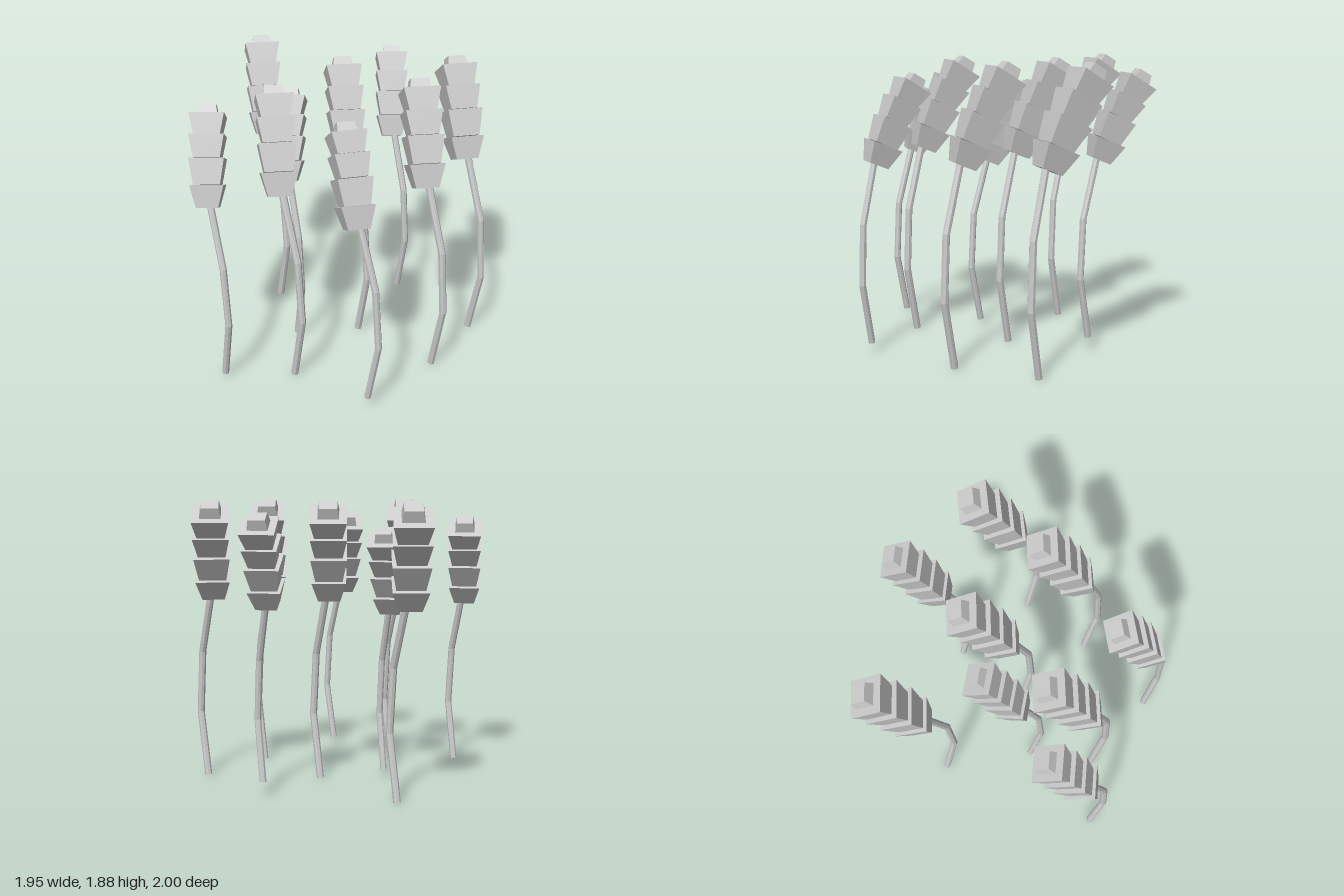
import * as THREE from 'three';

const material = new THREE.MeshStandardMaterial({ color: 0xcccccc, flatShading: true });
const V = (x, y, z) => new THREE.Vector3(x, y, z);

// Bent stem: a cylinder whose rings follow a polyline, mitred at the bends
function stemGeometry(points, radius) {
  const last = points.length - 1;
  const geometry = new THREE.CylinderGeometry(radius, radius, last, 8, last);
  const position = geometry.attributes.position;
  const frames = points.map((p, i) => {
    const tangent = V(0, 0, 0);
    if (i > 0) tangent.add(p.clone().sub(points[i - 1]).normalize());
    if (i < last) tangent.add(points[i + 1].clone().sub(p).normalize());
    return new THREE.Quaternion().setFromUnitVectors(V(0, 1, 0), tangent.normalize());
  });
  for (let i = 0; i < position.count; i++) {
    const ring = Math.round(position.getY(i) + last / 2);
    const v = V(position.getX(i), 0, position.getZ(i)).applyQuaternion(frames[ring]).add(points[ring]);
    position.setXYZ(i, v.x, v.y, v.z);
  }
  geometry.computeVertexNormals();
  return geometry;
}

// Square block with different widths at its bottom and top, tilted backwards
function blockGeometry(bottom, top, from, to, tilt) {
  const height = from.distanceTo(to);
  const geometry = new THREE.BoxGeometry(1, height, 1);
  const position = geometry.attributes.position;
  for (let i = 0; i < position.count; i++) {
    const [w, d] = position.getY(i) > 0 ? top : bottom;
    position.setX(i, position.getX(i) * w);
    position.setZ(i, position.getZ(i) * d);
  }
  geometry.rotateX(-THREE.MathUtils.degToRad(tilt));
  const centre = from.clone().add(to).multiplyScalar(0.5);
  geometry.translate(centre.x, centre.y, centre.z);
  geometry.computeVertexNormals();
  return geometry;
}

const stem = stemGeometry([
  V(0, 0.006, 0), V(0.048, 0.435, 0.075), V(0.028, 0.855, 0.054), V(-0.055, 1.33, -0.075),
], 0.024);

// Ear of grain: centres of the tier joints along a backward curve
const hx = -0.063;
const joints = [
  V(hx, 1.253, -0.078), V(hx, 1.39, -0.134), V(hx, 1.55, -0.204),
  V(hx, 1.682, -0.279), V(hx, 1.794, -0.359), V(hx, 1.855, -0.39),
];
const tilts = [23, 26, 29, 32];
const tiers = tilts.map((tilt, i) => blockGeometry(
  i ? [0.175, 0.165] : [0.145, 0.14], [i ? 0.232 : 0.222, 0.217], joints[i], joints[i + 1], tilt));
const tip = blockGeometry([0.135, 0.12], [0.112, 0.096], joints[4], joints[5], 31);

// x, base height, z, turn in degrees, scale
const stalks = [
  [-0.365, 0, -0.55, 0, 1],
  [0.485, 0.09, -0.415, -7, 0.92],
  [-0.30, 0.04, 0.062, -12, 0.89],
  [0.13, 0, 0.008, 0, 1],
  [0.90, 0, 0.085, 4, 1],
  [-0.815, 0.02, 0.465, -7, 0.93],
  [-0.365, 0, 0.505, 0, 1],
  [0.545, 0, 0.505, 0, 1],
  [0.052, 0.06, 0.915, 7, 0.92],
];

export function createModel() {
  const model = new THREE.Group();
  model.name = 'wheatStalks';
  const add = (parent, geometry, name) => {
    const mesh = new THREE.Mesh(geometry, material);
    mesh.name = name;
    parent.add(mesh);
  };
  stalks.forEach(([x, y, z, turn, scale], i) => {
    const stalk = new THREE.Group();
    stalk.name = `stalk${i + 1}`;
    add(stalk, stem, 'stem');
    const ear = new THREE.Group();
    ear.name = 'ear';
    tiers.forEach((tier, t) => add(ear, tier, `earTier${t + 1}`));
    add(ear, tip, 'earTip');
    stalk.add(ear);
    stalk.position.set(x, y, z);
    stalk.rotation.y = THREE.MathUtils.degToRad(turn);
    stalk.scale.setScalar(scale);
    model.add(stalk);
  });
  return model;
}
